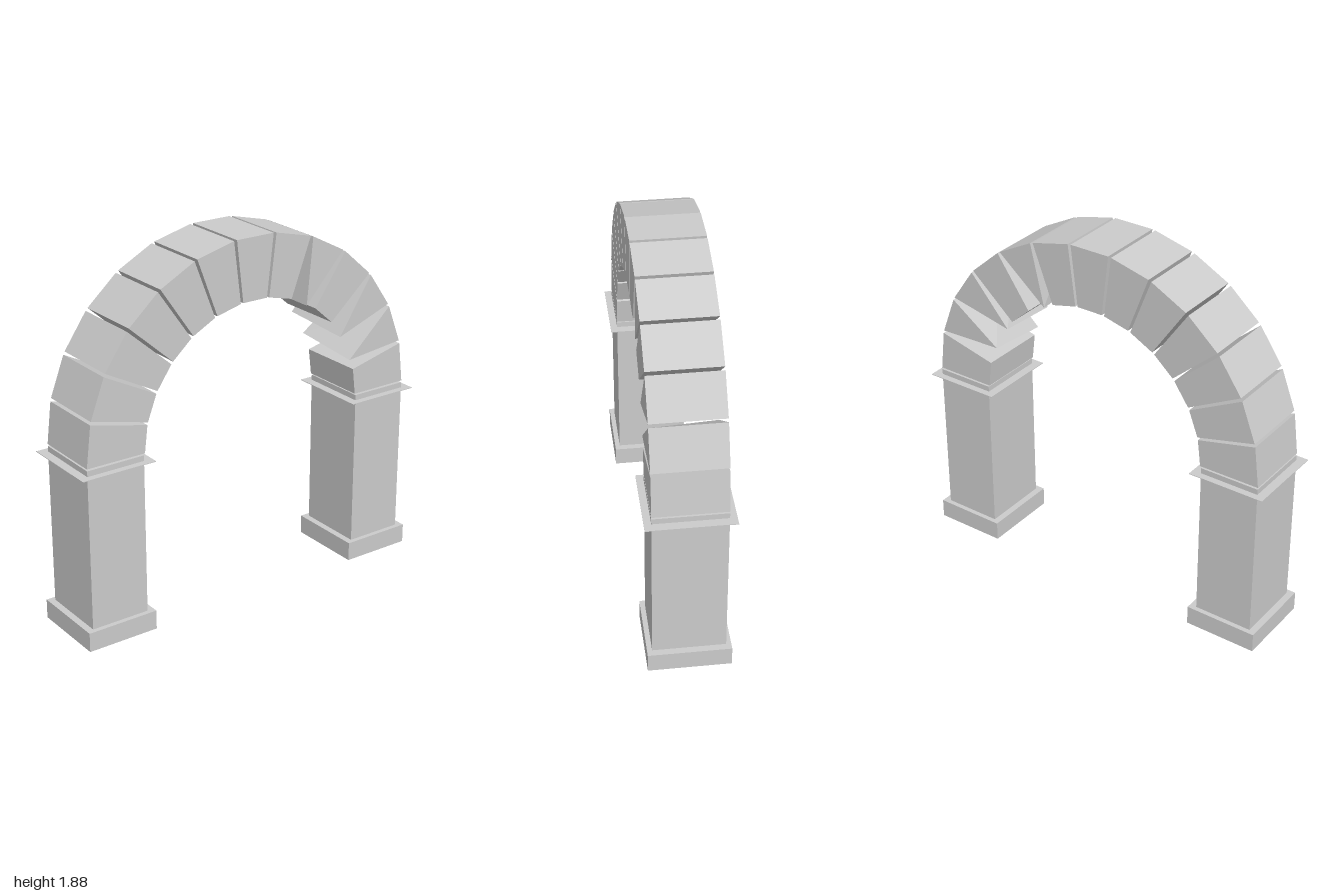
import * as THREE from 'three';

const material = new THREE.MeshStandardMaterial({ color: 0xcccccc, flatShading: true });
const DEPTH = 0.36;
const STONES = 13;
const SPRING_Y = 0.932;           // centre height of the arch ring
const INNER = 0.635, OUTER = 0.95; // radial extent of each stone
const WEDGES = [8, 10, 11];        // stones worn down to a skewed inner edge

function addBox(parent, name, w, h, d, x, y) {
  const mesh = new THREE.Mesh(new THREE.BoxGeometry(w, h, d), material);
  mesh.name = name;
  mesh.position.set(x, y, 0);
  parent.add(mesh);
}

// Tapered arch stone, standing radially along y from the arch centre
function stoneGeometry(wedge) {
  const geo = new THREE.BoxGeometry(2, 2, DEPTH);
  const p = geo.attributes.position;
  for (let i = 0; i < p.count; i++) {
    const side = Math.sign(p.getX(i));
    const outer = p.getY(i) > 0;
    let x = side * (outer ? 0.107 : 0.07);
    // a worn stone's inner face shrinks to one diagonal edge
    if (wedge && !outer) x = Math.sign(p.getZ(i)) * 0.024;
    p.setXY(i, x, outer ? OUTER : wedge ? 0.63 : INNER);
  }
  const flat = geo.toNonIndexed();
  flat.computeVertexNormals();
  return flat;
}

export function createModel() {
  const model = new THREE.Group();
  model.name = 'stoneArch';

  // Pillars with base block and thin capital slab
  for (const side of [-1, 1]) {
    const pillar = new THREE.Group();
    pillar.name = side < 0 ? 'rightPillar' : 'leftPillar';
    const x = side * 0.8;
    addBox(pillar, 'base', 0.38, 0.1, 0.41, x, 0.05);
    addBox(pillar, 'shaft', 0.31, 0.83, DEPTH, x, 0.515);
    addBox(pillar, 'capitalSlab', 0.4, 0.003, 0.43, x, 0.9);
    model.add(pillar);
  }

  // Ring of arch stones, from -x over the top to +x
  const ring = new THREE.Group();
  ring.name = 'archRing';
  ring.position.y = SPRING_Y;
  const whole = stoneGeometry(false);
  const worn = stoneGeometry(true);
  for (let i = 0; i < STONES; i++) {
    const isWedge = WEDGES.includes(i);
    const stone = new THREE.Mesh(isWedge ? worn : whole, material);
    stone.name = i === (STONES - 1) / 2 ? 'keystone' : isWedge ? 'wornArchStone' : 'archStone';
    stone.rotation.z = ((STONES - 1) / 2 - i) * Math.PI / STONES;
    ring.add(stone);
  }
  model.add(ring);

  return model;
}
